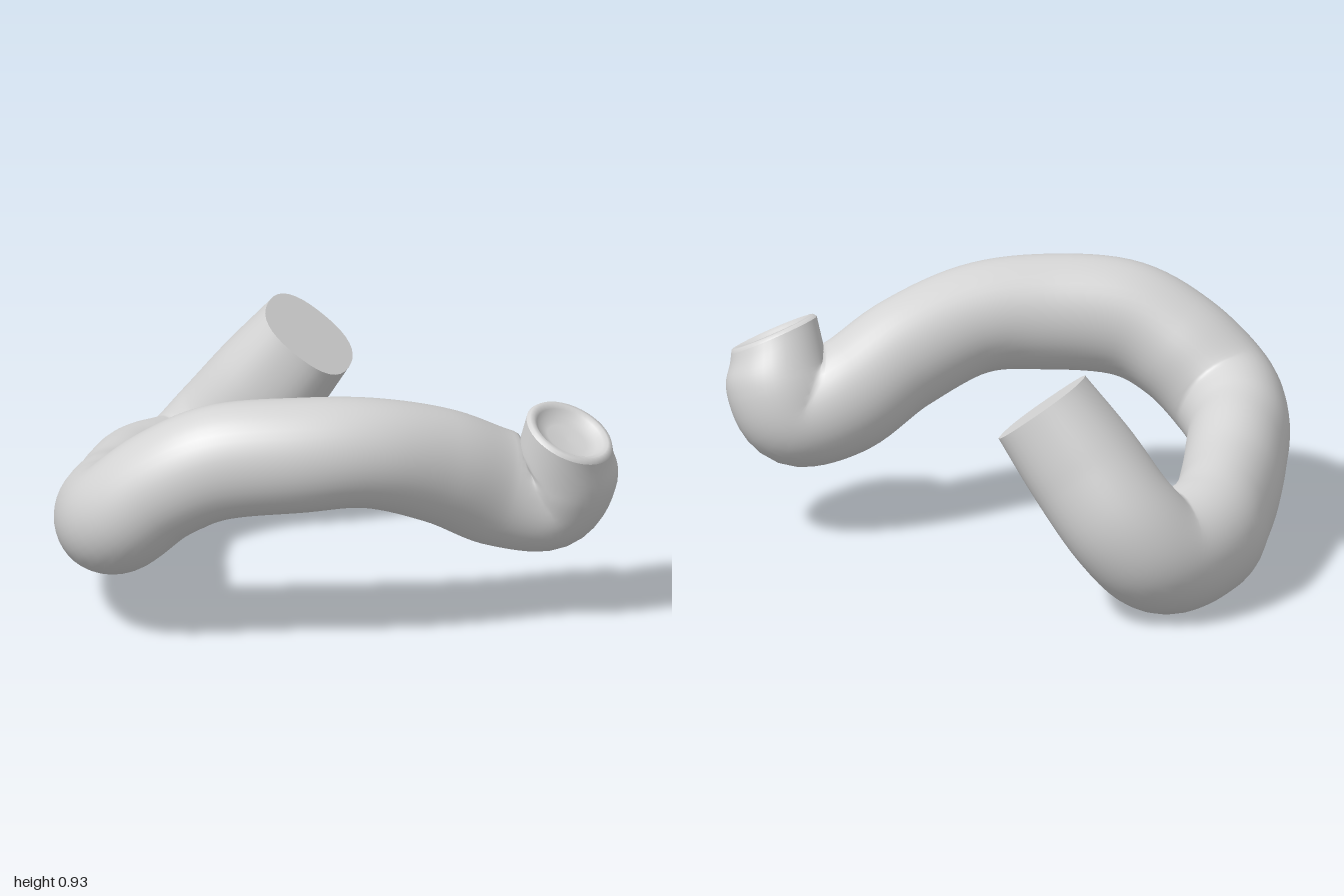
import * as THREE from 'three';

const SIDES = 40, STEPS = 140;

// Centreline stations: x, y, z, radius, vertical stretch, squareness
const STATIONS = [
  [-0.253, 0.75, -0.56, 0.182, 1, 0.07],
  [-0.405, 0.55, -0.58, 0.203, 1, 0.05],
  [-0.56, 0.35, -0.605, 0.21, 1, 0.02],
  [-0.68, 0.222, -0.535, 0.212, 1, 0],
  [-0.795, 0.23, -0.34, 0.198, 1.1, 0],
  [-0.82, 0.255, -0.15, 0.18, 1.22, 0],
  [-0.815, 0.285, 0.05, 0.18, 1.2, 0],
  [-0.8, 0.335, 0.25, 0.18, 1.2, 0],
  [-0.775, 0.39, 0.43, 0.182, 1.1, 0],
  [-0.69, 0.46, 0.585, 0.196, 1.04, 0],
  [-0.53, 0.6, 0.625, 0.192, 1.06, 0],
  [-0.33, 0.7, 0.622, 0.184, 1.13, 0],
  [-0.05, 0.725, 0.56, 0.188, 1.09, 0],
  [0.18, 0.715, 0.46, 0.185, 1.06, 0],
  [0.4, 0.625, 0.3, 0.18, 1.16, 0],
  [0.57, 0.51, 0.165, 0.178, 1.2, 0],
  [0.74, 0.455, 0.09, 0.18, 1.05, 0],
  [0.808, 0.56, 0.095, 0.187, 1, 0],
  [0.834, 0.722, 0.145, 0.165, 1, 0],
];

// One cross-section around a frame, stretched along y
function ring({ p, u, v, t, size }, scale = 1, depth = 0) {
  return Array.from({ length: SIDES }, (_, j) => {
    const a = (j / SIDES) * Math.PI * 2;
    const r = size.x * scale * (1 + size.z * Math.sin(2 * a) ** 2);
    const o = u.clone().multiplyScalar(Math.cos(a) * r).addScaledVector(v, Math.sin(a) * r);
    o.y *= size.y;
    return o.add(p).addScaledVector(t, depth);
  });
}

// Relax the inside of tight bends until the skin no longer runs backwards
function unfold(rings, frames) {
  const last = rings.length - 1;
  for (let j = 0; j < SIDES; j++) {
    for (let pass = 0; pass < 150; pass++) {
      const line = rings.map((r) => r[j].clone());
      const folded = (i) => i >= 0 && i < last
        && line[i + 1].clone().sub(line[i]).dot(frames[i].t) < 0.003;
      for (let i = 1; i < last; i++) {
        if ([-2, -1, 0, 1].some((d) => folded(i + d))) {
          rings[i][j].lerpVectors(line[i - 1], line[i + 1], 0.5).lerp(line[i], 0.3);
        }
      }
    }
  }
  return rings;
}

// Closed-around skin through a list of rings
function loft(rings) {
  const index = [];
  for (let i = 0; i < rings.length - 1; i++) {
    for (let j = 0; j < SIDES; j++) {
      const n = (j + 1) % SIDES;
      const a = i * SIDES + j, b = i * SIDES + n, c = a + SIDES, d = b + SIDES;
      index.push(a, b, c, b, d, c);
    }
  }
  const geo = new THREE.BufferGeometry().setFromPoints(rings.flat());
  geo.setIndex(index);
  geo.computeVertexNormals();
  return geo;
}

export function createModel() {
  const grey = new THREE.MeshStandardMaterial({ color: 0xd4d4d4 });
  grey.name = 'grey';
  const group = new THREE.Group();
  group.name = 'bentTube';
  const add = (name, geo) => {
    const mesh = new THREE.Mesh(geo, grey);
    mesh.name = name;
    group.add(mesh);
  };

  const curve = (from) => new THREE.CatmullRomCurve3(
    STATIONS.map((s) => new THREE.Vector3(...s.slice(from, from + 3))), false, 'catmullrom', 0.5);
  const path = curve(0), size = curve(3);

  // Frames carried along the path without twist; the last few tilt to the mouth
  const mouth = new THREE.Vector3(0.43, 0.88, 0.15).normalize();
  const frames = [];
  let u = new THREE.Vector3(0, 0, 1);
  for (let i = 0; i <= STEPS; i++) {
    const s = i / STEPS;
    const t = path.getTangent(s);
    t.lerp(mouth, THREE.MathUtils.smoothstep(s, 0.93, 1)).normalize();
    u = u.clone().addScaledVector(t, -u.dot(t)).normalize();
    frames.push({ p: path.getPoint(s), t, u, v: t.clone().cross(u), size: size.getPoint(s) });
  }
  add('tubeBody', loft(unfold(frames.map((f) => ring(f)), frames)));

  // Flat cut on the thick end
  add('flatEnd', loft([ring(frames[0], 0.001), ring(frames[0])]));

  // Shallow dished mouth with a rounded lip on the narrow end
  const dish = [[1, 0], [0.95, 0.012], [0.86, 0.014], [0.77, 0.004], [0.66, -0.016], [0.45, -0.026], [0.001, -0.028]];
  add('dishedEnd', loft(dish.map(([scale, depth]) => ring(frames[STEPS], scale, depth))));

  return group;
}
